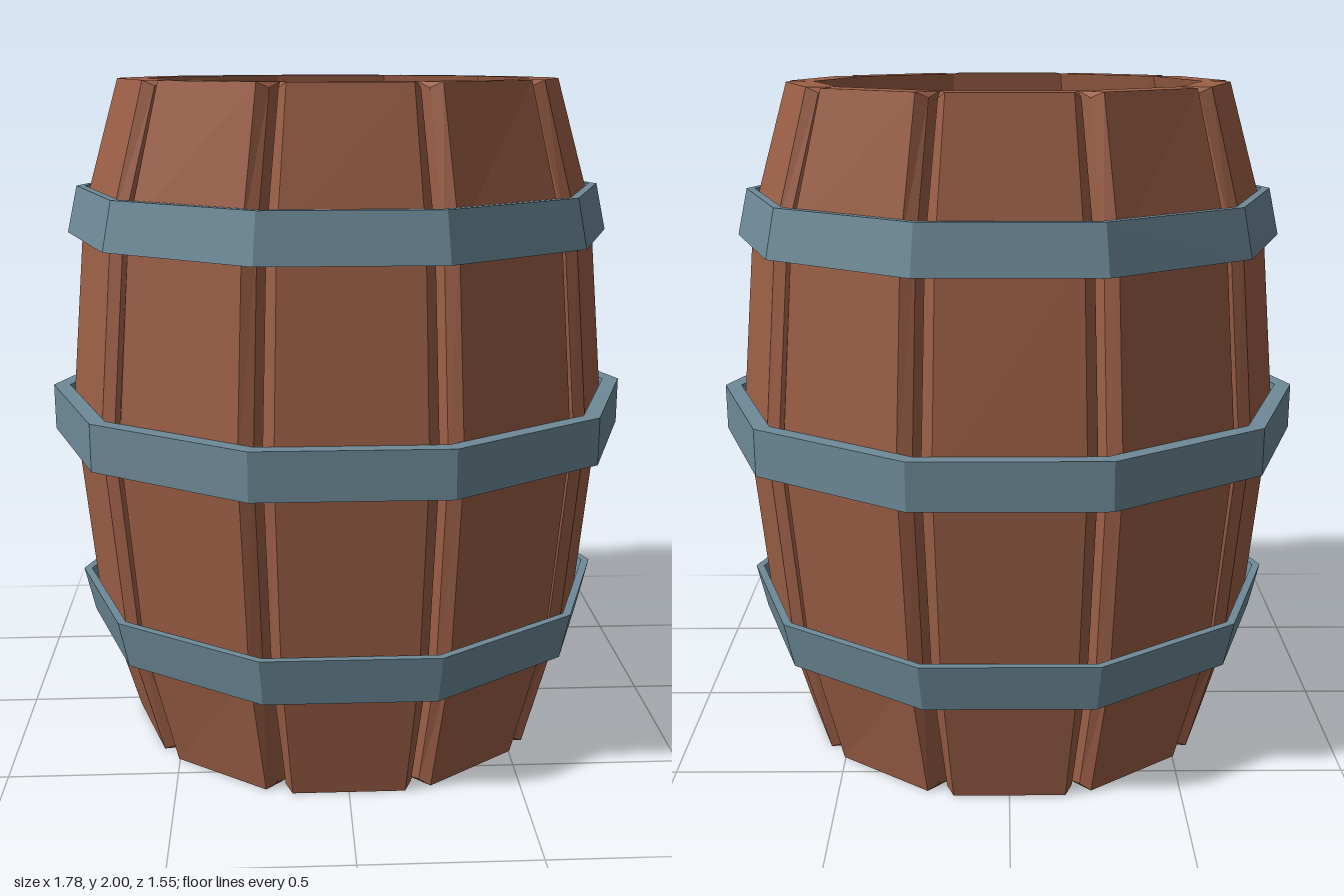
import * as THREE from 'three';

const SIDES = 10;
const STEP = (Math.PI * 2) / SIDES;
const TAN = Math.tan(STEP / 2);

// Faceted skin over a list of loops; either closed round or capped by index triples
function loft(rings, closed, cap = []) {
  const out = [];
  const tri = (a, b, c) => out.push(...a, ...b, ...c);
  const n = rings[0].length;
  const spans = closed ? rings.length : rings.length - 1;
  for (let i = 0; i < spans; i++) {
    const lo = rings[i], hi = rings[(i + 1) % rings.length];
    for (let j = 0; j < n; j++) {
      const k = (j + 1) % n;
      tri(lo[j], hi[j], lo[k]);
      tri(lo[k], hi[j], hi[k]);
    }
  }
  const first = rings[0], last = rings[rings.length - 1];
  for (const [a, b, c] of cap) {
    tri(first[a], first[b], first[c]);
    tri(last[a], last[c], last[b]);
  }
  const g = new THREE.BufferGeometry();
  g.setAttribute('position', new THREE.Float32BufferAttribute(out, 3));
  g.computeVertexNormals();
  return g;
}

// One stave: chamfered section swept up the bulging profile
function staveGeometry(angle) {
  // height, outer apothem, depth squash
  const levels = [[0, 0.632, 1], [0.39, 0.743, 0.932], [1, 0.798, 0.923], [1.61, 0.743, 0.932], [2, 0.632, 1]];
  const c = Math.cos(angle), s = Math.sin(angle);
  const rings = levels.map(([y, a, squash]) => {
    const inner = a - 0.085, side = a - 0.03;
    const ySide = y === 0 ? 0.015 : y === 2 ? 1.985 : y;
    const half = [[inner, inner * TAN, y], [side, side * TAN - 0.013, ySide], [a, a * 0.258, y]];
    const section = [
      ...half.map(([r, t, h]) => [r, -t, h]),
      ...half.slice().reverse(),
    ];
    return section.map(([r, t, h]) => [r * c - t * s, h, (r * s + t * c) * squash]);
  });
  return loft(rings, false, [[0, 1, 2], [0, 2, 3], [0, 3, 5], [3, 4, 5]]);
}

// Ten-sided hoop; top and bottom are [height, corner radius, depth squash]
function hoopGeometry(top, bottom, thickness) {
  const rings = [];
  for (let i = 0; i < SIDES; i++) {
    const c = Math.cos(i * STEP), s = Math.sin(i * STEP);
    const at = ([y, r, squash], inset) => [(r - inset) * c, y, (r - inset) * s * squash];
    rings.push([at(top, 0), at(bottom, 0), at(bottom, thickness), at(top, thickness)]);
  }
  return loft(rings, true);
}

function decagonDisc(radius, height) {
  const g = new THREE.CylinderGeometry(radius, radius, height, SIDES).rotateY(Math.PI / 2).toNonIndexed();
  g.computeVertexNormals();
  return g;
}

export function createModel() {
  const wood = new THREE.MeshStandardMaterial({ color: 0x9c5f46 });
  const steel = new THREE.MeshStandardMaterial({ color: 0x6d8a98 });
  const darkWood = new THREE.MeshStandardMaterial({ color: 0x743d2f });
  wood.name = 'wood';
  steel.name = 'steel';
  darkWood.name = 'dark wood';

  const barrel = new THREE.Group();
  barrel.name = 'barrel';
  const add = (name, geometry, material, x = 0, y = 0, z = 0) => {
    const mesh = new THREE.Mesh(geometry, material);
    mesh.name = name;
    mesh.position.set(x, y, z);
    barrel.add(mesh);
  };

  // Staves
  for (let i = 0; i < SIDES; i++) add('stave', staveGeometry((i + 0.5) * STEP), wood);

  // Recessed heads
  add('topHead', decagonDisc(0.58, 0.06), wood, 0, 1.86);
  add('bottomHead', decagonDisc(0.58, 0.06), wood, 0, 0.14);

  // Hoops
  add('upperHoop', hoopGeometry([1.685, 0.79, 0.945], [1.545, 0.822, 0.936], 0.025), steel);
  add('middleHoop', hoopGeometry([1.07, 0.888, 0.915], [0.93, 0.888, 0.915], 0.05), steel);
  add('lowerHoop', hoopGeometry([0.46, 0.822, 0.936], [0.32, 0.79, 0.945], 0.025), steel);

  // Bung on the top head
  add('bung', decagonDisc(0.117, 0.06), darkWood, 0.297, 1.915);

  return barrel;
}
